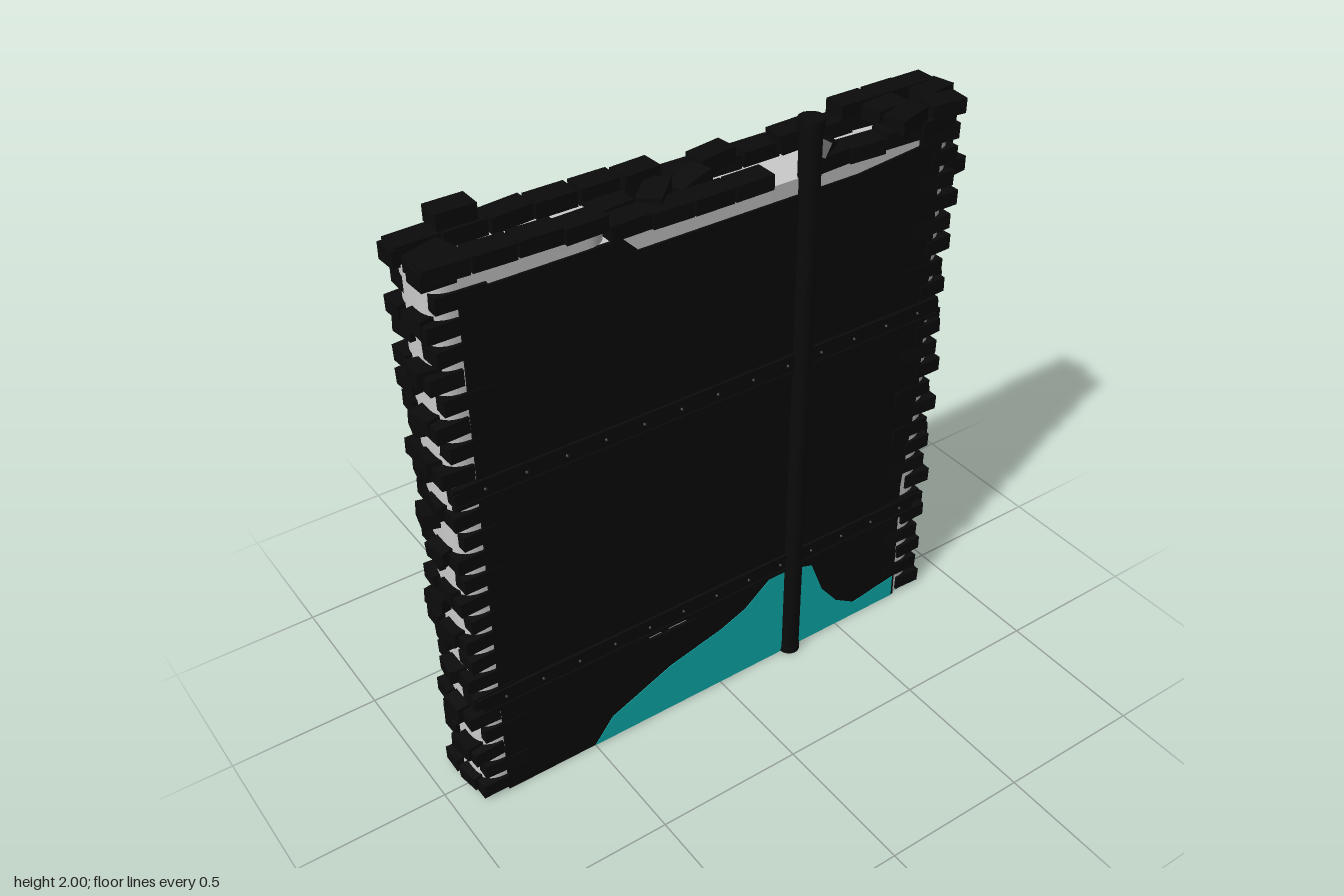
import * as THREE from 'three';
import { toCreasedNormals } from 'three/addons/utils/BufferGeometryUtils.js';

const black = new THREE.MeshStandardMaterial({ color: 0x0b0b0b });
const grey = new THREE.MeshStandardMaterial({ color: 0xcccccc });
const teal = new THREE.MeshStandardMaterial({ color: 0x0fb5b5 });

let seed = 7;
const rand = () => {
  seed = (seed * 16807) % 2147483647;
  return seed / 2147483647;
};
const jitter = (a) => (rand() - 0.5) * 2 * a;

function add(parent, name, geometry, material, x = 0, y = 0, z = 0) {
  const mesh = new THREE.Mesh(geometry, material);
  mesh.name = name;
  mesh.position.set(x, y, z);
  parent.add(mesh);
  return mesh;
}

const brickGeometry = new THREE.BoxGeometry(1, 1, 1);
function brick(parent, x, y, z, w, h, d, yaw = 0, tilt = 0) {
  const b = add(parent, 'brick', brickGeometry, black, x, y, z);
  b.scale.set(w, h, d);
  b.rotation.set(tilt, yaw, 0);
  return b;
}

const v2 = (points, sx = 1) => points.map(([z, y]) => new THREE.Vector2(z * sx, y));

// Flat plate on one face of the wall; outlines are [z, y] pairs, side is +1 or -1
function plate(parent, name, side, x, depth, material, outline, holes = []) {
  const shape = new THREE.Shape(v2(outline, -side));
  holes.forEach((h) => shape.holes.push(new THREE.Path(v2(h, -side))));
  const geo = new THREE.ExtrudeGeometry(shape, { depth, bevelEnabled: false });
  const mesh = add(parent, name, geo, material, side * x);
  mesh.rotation.y = (side * Math.PI) / 2;
  return mesh;
}

// Mortar core with rounded ends, extruded upward
function core(parent, name, z0, z1, y0, y1) {
  const s = new THREE.Shape();
  const l = -0.115, r = 0.09, c = 0.075, a = -z1, b = -z0;
  s.moveTo(l + c, a);
  s.lineTo(r - c, a);
  s.quadraticCurveTo(r, a, r, a + c);
  s.lineTo(r, b - c);
  s.quadraticCurveTo(r, b, r - c, b);
  s.lineTo(l + c, b);
  s.quadraticCurveTo(l, b, l, b - c);
  s.lineTo(l, a + c);
  s.quadraticCurveTo(l, a, l + c, a);
  const geo = new THREE.ExtrudeGeometry(s, { depth: y1 - y0, bevelEnabled: false, curveSegments: 8 });
  geo.rotateX(-Math.PI / 2);
  add(parent, name, toCreasedNormals(geo, 0.8), grey, 0, y0, 0);
}

export function createModel() {
  const model = new THREE.Group();
  model.name = 'brokenWall';
  const group = (name) => {
    const g = new THREE.Group();
    g.name = name;
    model.add(g);
    return g;
  };

  // Mortar body and painted underside
  const body = group('mortarCore');
  core(body, 'core', -0.86, 0.9, 0.004, 1.82);
  core(body, 'raisedCore', 0.36, 0.9, 1.8, 1.865);
  add(body, 'underside', new THREE.BoxGeometry(0.2, 0.008, 1.62), teal, -0.012, 0.004, 0.01);

  // Dark face with a small hole, and paint left along its foot
  const outer = group('darkFace');
  plate(outer, 'darkPanel', 1, 0.085, 0.012, black,
    [[0.82, 0], [-0.77, 0], [-0.76, 0.5], [-0.8, 0.9], [-0.8, 1.8], [-0.48, 1.77], [0.28, 1.77], [0.33, 1.82], [0.82, 1.82]],
    [[[0.28, 0.32], [0.28, 0.37], [0.13, 0.37], [0.14, 0.32]]]);
  plate(outer, 'footPaint', 1, 0.09, 0.0085, teal,
    [[0.5, 0], [0.43, 0.09], [0.2, 0.19], [0, 0.24], [-0.1, 0.28], [-0.2, 0.36], [-0.26, 0.37], [-0.38, 0.33],
      [-0.43, 0.2], [-0.5, 0.11], [-0.58, 0.06], [-0.76, 0.09], [-0.76, 0]]);
  brick(outer, 0.09, 0.335, 0.2, 0.02, 0.025, 0.2);
  brick(outer, 0.09, 0.362, 0.22, 0.016, 0.018, 0.03, 0, 0.5);

  // Riveted rails across the dark face
  for (const y of [0.405, 1.2]) {
    const rail = group('rail');
    add(rail, 'web', new THREE.BoxGeometry(0.012, 0.06, 1.7), black, 0.096, y, 0.03);
    for (const s of [-1, 1]) {
      add(rail, 'flange', new THREE.BoxGeometry(0.016, 0.012, 1.74), black, 0.098, y + s * 0.03, 0.03);
    }
    for (let i = 0; i < 13; i++) {
      add(rail, 'rivet', new THREE.SphereGeometry(0.008, 6, 4), black, 0.102, y, 0.8 - i * 0.13);
    }
  }

  // Painted face with two broken holes and worn patches
  const inner = group('paintedFace');
  const upperHole = [[-0.42, 1.36], [-0.25, 1.34], [-0.1, 1.42], [0.12, 1.46], [0.28, 1.53], [0.1, 1.56], [-0.12, 1.52], [-0.36, 1.5]];
  const lowerHole = [[-0.24, 0.26], [-0.14, 0.2], [-0.04, 0.28], [0, 0.42], [-0.06, 0.52], [-0.2, 0.5], [-0.26, 0.4]];
  plate(inner, 'paintedPanel', -1, 0.11, 0.02, teal,
    [[-0.8, 0], [0.82, 0], [0.82, 1.82], [0.4, 1.8], [0.2, 1.76], [-0.4, 1.76], [-0.8, 1.77]], [upperHole, lowerHole]);
  plate(inner, 'wornSide', -1, 0.115, 0.0165, black,
    [[0.82, 0], [0.66, 0.03], [0.5, 0.1], [0.3, 0.3], [0.2, 0.5], [0.24, 0.7], [0.4, 0.8], [0.38, 1.08], [0.46, 1.33], [0.62, 1.26], [0.82, 1.28]]);
  plate(inner, 'wornTop', -1, 0.115, 0.0165, black,
    [[-0.7, 1.765], [-0.45, 1.67], [-0.2, 1.66], [-0.05, 1.56], [0.12, 1.55], [0.2, 1.64], [0.35, 1.66], [0.5, 1.8], [0.4, 1.8], [0.2, 1.76], [-0.4, 1.76]]);
  for (const hole of [upperHole, lowerHole]) {
    plate(inner, 'holeBack', -1, 0.112, 0.005, black, hole);
    const cz = hole.reduce((t, p) => t + p[0], 0) / hole.length;
    const cy = hole.reduce((t, p) => t + p[1], 0) / hole.length;
    const wide = hole === upperHole;
    for (let i = 0; i < 9; i++) {
      const t = i / 8 - 0.5;
      brick(inner, -0.122, cy + t * (wide ? 0.12 : 0.26) + jitter(0.01), cz + t * (wide ? 0.5 : 0) + jitter(0.06),
        0.025, 0.04, 0.11, jitter(0.1), jitter(0.1));
    }
  }

  // Toothed brick courses at both ends
  const pitch = 0.0768;
  for (const end of [1, -1]) {
    const teeth = group(end > 0 ? 'frontBricks' : 'backBricks');
    const edge = end > 0 ? 0.9 : -0.86;
    for (let i = 0; i < 25; i++) {
      const y = 0.04 + i * pitch;
      const long = i % 2;
      if (y > 1.84 && end < 0) continue;
      // Face bricks running along the wall
      const len = long ? 0.15 : 0.1;
      const out = edge + end * (long ? -0.005 : 0.015);
      brick(teeth, -0.085, y, out - (end * len) / 2 + jitter(0.012), 0.072, 0.05, len, jitter(0.08), jitter(0.04));
      brick(teeth, 0.062, y, out - (end * len) / 2 + jitter(0.012), 0.075, 0.05, len, jitter(0.05), jitter(0.04));
      // Filler bricks between them
      if (y < 1.78) {
        brick(teeth, (long ? -0.045 : 0.02) + jitter(0.015), y + (long ? 0.03 : 0.012), edge - end * 0.02 + jitter(0.015),
          0.08, 0.05, 0.1, jitter(0.25), jitter(0.08));
      }
    }
  }
  // Loosened bricks high on the back end
  for (const [x, y, z] of [[-0.07, 1.74, -0.87], [0.02, 1.66, -0.885], [-0.03, 1.58, -0.87], [-0.06, 1.5, -0.86]]) {
    brick(model, x, y, z, 0.1, 0.048, 0.1, jitter(0.3), jitter(0.15));
  }

  // Top courses along both faces
  const top = group('topBricks');
  for (let i = 0; i < 13; i++) {
    const z = 0.845 - i * 0.1355;
    const y = z > 0.36 ? 1.888 : 1.842;
    brick(top, -0.088, y + jitter(0.006), z, 0.075, 0.048, 0.128, jitter(0.06), jitter(0.04));
    if (i !== 8) brick(top, 0.064, y + jitter(0.006), z, 0.075, 0.048, 0.13, jitter(0.03), jitter(0.03));
  }
  // Upper course still standing and loose bricks: x, y, z, yaw, tilt
  const loose = [
    [-0.09, 1.945, 0.73, 0, 0], [-0.09, 1.888, 0.3, 0, 0], [-0.085, 1.888, 0.17, 0.05, 0],
    [0, 1.86, 0.165, 0.75, 0.1], [-0.02, 1.85, 0.04, 0.2, 0.2], [-0.08, 1.87, -0.08, 0.08, 0.05],
    [-0.065, 1.872, -0.35, -0.06, 0.06], [0.04, 1.87, -0.38, 0.6, -0.5], [-0.01, 1.885, -0.66, 0.08, 0.02],
    [-0.088, 1.89, -0.59, 0, 0], [-0.088, 1.89, -0.72, 0, 0], [0.07, 1.885, -0.67, 0.25, 0.05],
    [-0.088, 1.888, -0.83, 0, 0], [-0.02, 1.885, -0.85, 0.2, 0], [0.065, 1.885, -0.82, -0.1, 0],
    [0, 1.885, 0.84, 0.3, 0], [-0.02, 1.85, 0.3, 0.1, 0],
  ];
  loose.forEach(([x, y, z, yaw, tilt]) => brick(top, x, y, z, 0.075, 0.048, 0.12, yaw, tilt));

  // Standing pipe with end collars
  const pipe = group('pipe');
  add(pipe, 'pipeShaft', new THREE.CylinderGeometry(0.034, 0.034, 1.99, 16), black, 0.096, 1.0, -0.295);
  add(pipe, 'topCollar', new THREE.CylinderGeometry(0.04, 0.04, 0.03, 16), black, 0.096, 1.985, -0.295);
  add(pipe, 'bottomCollar', new THREE.CylinderGeometry(0.037, 0.037, 0.02, 16), black, 0.096, 0.01, -0.295);

  return model;
}
